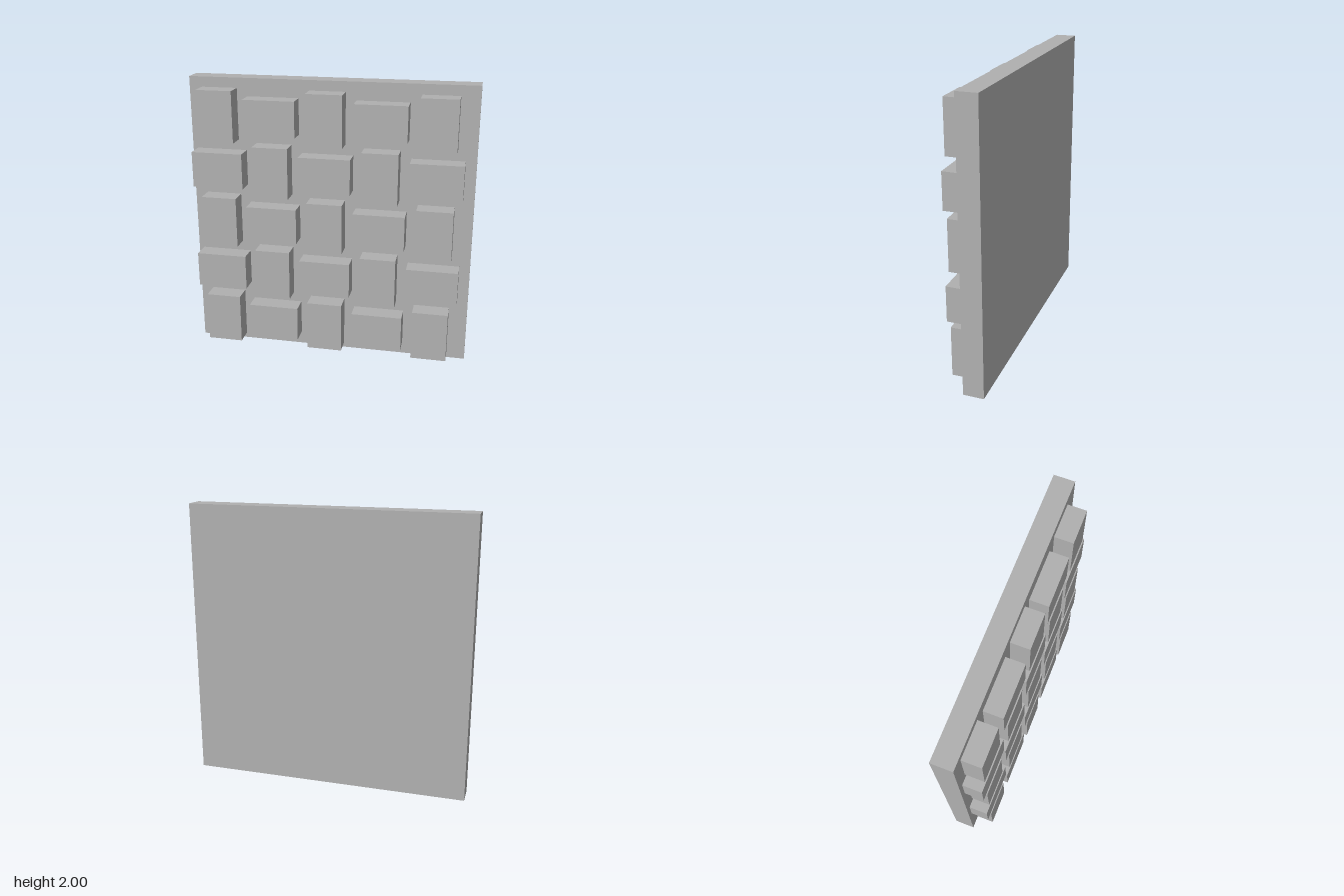
import * as THREE from 'three';

const stone = new THREE.MeshStandardMaterial({ color: 0xb0b0b0 });
stone.name = 'grey stone';

function addBox(group, name, size, position) {
  const mesh = new THREE.Mesh(new THREE.BoxGeometry(...size), stone);
  mesh.name = name;
  mesh.position.set(...position);
  group.add(mesh);
}

export function createModel() {
  const model = new THREE.Group();
  model.name = 'basketWeavePanel';

  // Backing slab
  const back = -0.138, joint = 0.007, front = 0.138;
  addBox(model, 'backingSlab', [2, 2, joint - back], [0, 1, (joint + back) / 2]);

  // Raised blocks, alternately upright and lying down
  const blocks = new THREE.Group();
  blocks.name = 'raisedBlocks';
  model.add(blocks);
  const long = 0.362, short = 0.252, pitch = 0.382;
  for (let row = 0; row < 5; row++) {
    for (let col = 0; col < 5; col++) {
      const upright = (row + col) % 2 === 0;
      const size = upright ? [short, long] : [long, short];
      addBox(blocks, upright ? 'uprightBlock' : 'lyingBlock',
        [...size, front - joint],
        [-0.02 + (col - 2) * pitch, 0.984 + (row - 2) * pitch, (front + joint) / 2]);
    }
  }
  return model;
}
